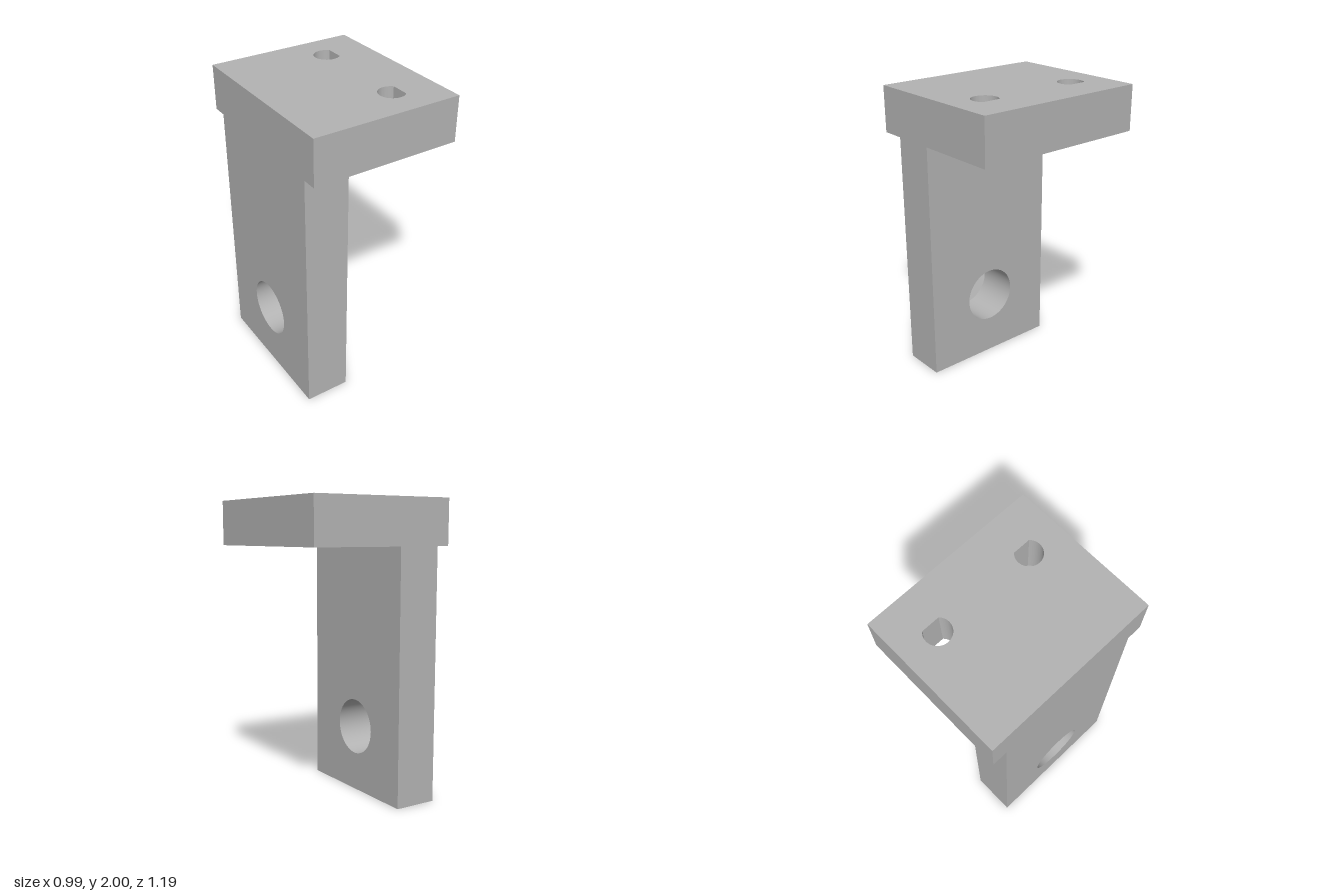
import * as THREE from 'three';
import { toCreasedNormals } from 'three/addons/utils/BufferGeometryUtils.js';

const TOP = 2, SEAT = 1.7, HALF_X = 0.495;

function rectangle(x0, y0, x1, y1) {
  return new THREE.Shape([
    new THREE.Vector2(x0, y0), new THREE.Vector2(x1, y0),
    new THREE.Vector2(x1, y1), new THREE.Vector2(x0, y1),
  ]);
}

// Round hole whose +x side runs out along 45 degree tangents to a point
function teardrop(x, y, r) {
  const path = new THREE.Path();
  path.moveTo(x + r * Math.SQRT2, y);
  path.absarc(x, y, r, Math.PI / 4, Math.PI * 7 / 4, false);
  path.closePath();
  return path;
}

function extrude(shape, depth) {
  const geometry = new THREE.ExtrudeGeometry(shape, { depth, bevelEnabled: false, curveSegments: 48 });
  return toCreasedNormals(geometry, 0.5);
}

export function createModel() {
  const model = new THREE.Group();
  model.name = 'bracket';
  const grey = new THREE.MeshStandardMaterial({ color: 0xb3b3b3 });
  grey.name = 'grey';

  // Top plate, drawn in plan and extruded upward, with two screw holes
  const plateShape = rectangle(-HALF_X, -0.595, HALF_X, 0.595);
  for (const side of [-1, 1]) plateShape.holes.push(teardrop(0.195, side * 0.348, 0.085));
  const plate = new THREE.Mesh(extrude(plateShape, TOP - SEAT), grey);
  plate.geometry.rotateX(-Math.PI / 2).translate(0, SEAT, 0);
  plate.name = 'topPlate';

  // Upright leg, drawn in side elevation and extruded along x, with a round hole
  const legShape = rectangle(-0.495, 0, 0.495, SEAT);
  const bore = new THREE.Path();
  bore.absarc(0, 0.45, 0.19, 0, Math.PI * 2, false);
  legShape.holes.push(bore);
  const leg = new THREE.Mesh(extrude(legShape, 0.295), grey);
  leg.geometry.rotateY(Math.PI / 2).translate(-HALF_X, 0, 0);
  leg.name = 'uprightLeg';

  model.add(plate, leg);
  return model;
}
